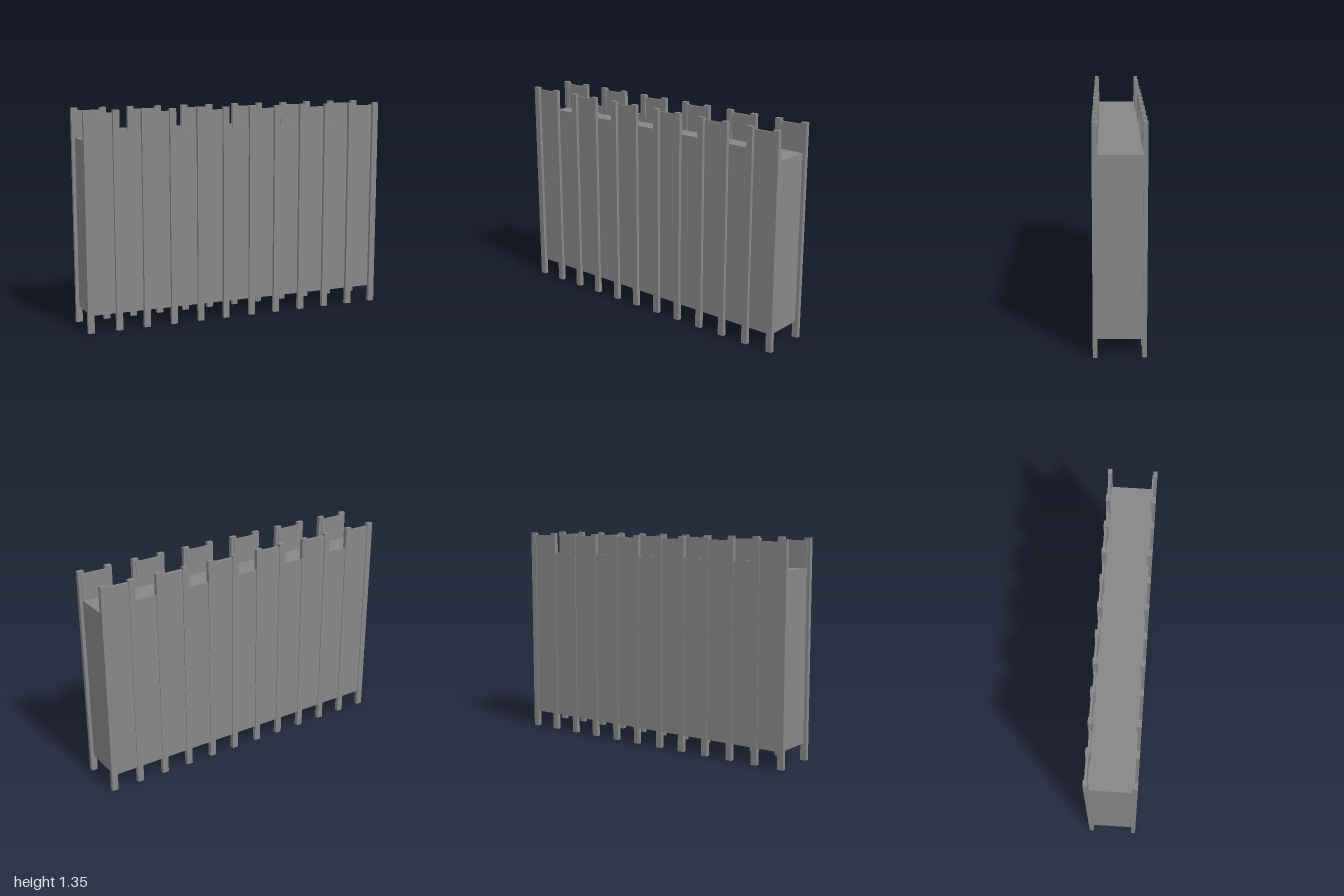
import * as THREE from 'three';

export function createModel() {
  const model = new THREE.Group();
  model.name = 'palisadeWall';
  const material = new THREE.MeshStandardMaterial({ color: 0x878787, flatShading: true });

  // Box given by its minimum and maximum corners
  function block(name, x0, x1, y0, y1, z0, z1, parent) {
    const mesh = new THREE.Mesh(new THREE.BoxGeometry(x1 - x0, y1 - y0, z1 - z0), material);
    mesh.position.set((x0 + x1) / 2, (y0 + y1) / 2, (z0 + z1) / 2);
    mesh.name = name;
    parent.add(mesh);
  }

  const base = 0.105;
  const seam = 0.43;
  const half = [0.09, 0.263, 0.442, 0.621, 0.8, 0.98];
  const postX = [...half.map((x) => -x).reverse(), ...half];

  // Solid filling whose top is the walkway
  block('wallCore', -0.98, 0.98, base, 1.165, -0.145, 0.127, model);

  // Each face: square posts with alternating high and low panels between them
  const faces = [
    { name: 'frontFace', post: [0.127, 0.153], panel: [0.122, 0.133] },
    { name: 'backFace', post: [-0.153, -0.127], panel: [-0.148, -0.134] },
  ];
  for (const face of faces) {
    const group = new THREE.Group();
    group.name = face.name;
    model.add(group);
    postX.forEach((x, i) => {
      // Each post is two lengths joined at the seam
      block('lowerPost', x - 0.02, x + 0.02, 0, seam, ...face.post, group);
      block('upperPost', x - 0.02, x + 0.02, seam, 1.348, ...face.post, group);
      if (i < postX.length - 1) {
        const high = i % 2 === 0;
        block(high ? 'merlonPanel' : 'crenelPanel', x, postX[i + 1], base, high ? 1.332 : 1.215, ...face.panel, group);
      }
    });
  }
  return model;
}
